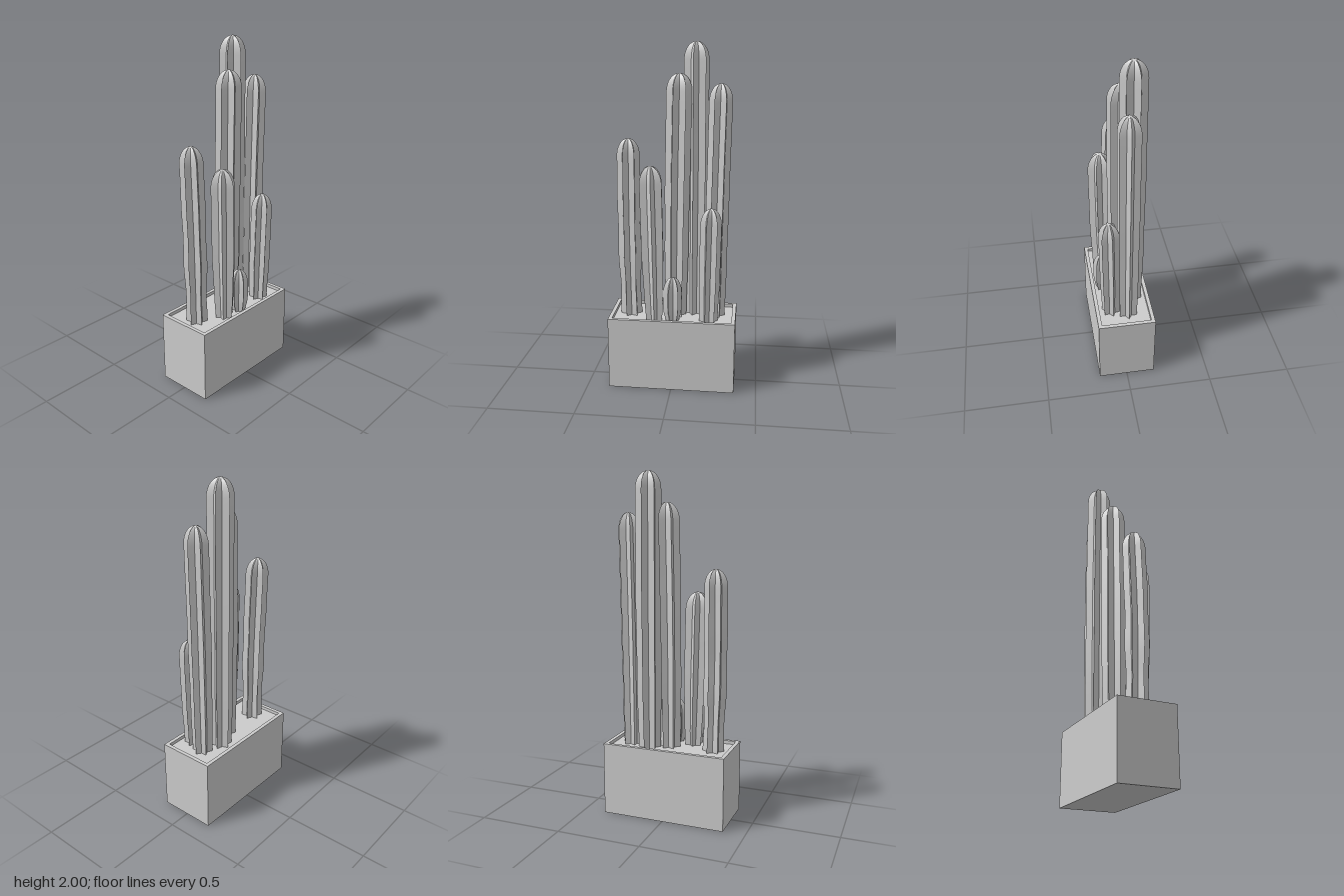
import * as THREE from 'three';
import { toCreasedNormals } from 'three/addons/utils/BufferGeometryUtils.js';

const grey = new THREE.MeshStandardMaterial({ color: 0xcccccc });
const POT = { x: 0.17, z: 0.37, h: 0.43, wall: 0.022, soil: 0.41 };
const RIBS = 6;

// Ribbed column: star cross-sections swept up a slightly bent path, closed by a dome
function cactusGeometry({ base, mid, top, h, r, turn, foot, wave }) {
  const y0 = POT.soil - 0.02;
  const path = new THREE.CatmullRomCurve3([
    new THREE.Vector3(base[0], y0, base[1]),
    new THREE.Vector3(mid[0], (y0 + h) / 2, mid[1]),
    new THREE.Vector3(top[0], h, top[1]),
  ]);
  const dome = Math.min(0.1, (h - y0) * 0.4);
  const rings = [];
  const bodySteps = 22, domeSteps = 9;
  for (let i = 0; i < bodySteps; i++) {
    const t = i / bodySteps;
    const swell = foot + (1 - foot) * Math.sin(Math.min(1, t * 1.6) * Math.PI / 2);
    const ripple = 1 + wave * Math.sin(t * 17 + turn) * (1 - t);
    rings.push([y0 + t * (h - dome - y0), r * swell * ripple]);
  }
  for (let i = 0; i <= domeSteps; i++) {
    const a = (i / domeSteps) * Math.PI / 2;
    rings.push([h - dome + dome * Math.sin(a), r * Math.max(Math.cos(a), 0.01)]);
  }

  const n = RIBS * 2, pos = [], index = [];
  const rot = THREE.MathUtils.degToRad(turn);
  rings.forEach(([y, rad], k) => {
    const c = path.getPoint((y - y0) / (h - y0));
    for (let j = 0; j < n; j++) {
      const a = rot + (j / n) * Math.PI * 2;
      const rr = rad * (j % 2 ? 0.6 : 1);
      pos.push(c.x + rr * Math.cos(a), y, c.z + rr * Math.sin(a));
      if (k === 0) continue;
      const j2 = (j + 1) % n, lo = (k - 1) * n, hi = k * n;
      index.push(lo + j, hi + j, lo + j2, lo + j2, hi + j, hi + j2);
    }
  });
  // cap the tip
  const last = (rings.length - 1) * n;
  pos.push(top[0], h, top[1]);
  for (let j = 0; j < n; j++) index.push(last + j, last + n, last + (j + 1) % n);

  const g = new THREE.BufferGeometry();
  g.setAttribute('position', new THREE.Float32BufferAttribute(pos, 3));
  g.setIndex(index);
  return toCreasedNormals(g, 0.6);
}

function rectangle(Type, x, z) {
  const s = new Type();
  s.moveTo(-x, -z);
  s.lineTo(x, -z);
  s.lineTo(x, z);
  s.lineTo(-x, z);
  s.closePath();
  return s;
}

export function createModel() {
  const model = new THREE.Group();
  const add = (name, geometry) => {
    const m = new THREE.Mesh(geometry, grey);
    m.name = name;
    model.add(m);
    return m;
  };

  // Planter: four walls with an open top, floor and soil
  const ix = POT.x - POT.wall, iz = POT.z - POT.wall;
  const outline = rectangle(THREE.Shape, POT.x, POT.z);
  outline.holes.push(rectangle(THREE.Path, ix, iz));
  const walls = new THREE.ExtrudeGeometry(outline, { depth: POT.h, bevelEnabled: false });
  walls.rotateX(-Math.PI / 2);
  add('planterWalls', walls);
  add('soil', new THREE.BoxGeometry(ix * 2, POT.soil, iz * 2)).position.y = POT.soil / 2;

  // Cacti: [x, z] at foot, middle and tip, height, rib radius, turn in degrees
  const cacti = [
    { base: [-0.06, -0.12], mid: [-0.062, -0.122], top: [-0.062, -0.12], h: 2.0, r: 0.073, turn: 10, foot: 0.9, wave: 0.03 },
    { base: [-0.005, -0.012], mid: [-0.006, -0.018], top: [-0.008, -0.03], h: 1.83, r: 0.072, turn: 22, foot: 0.85, wave: 0.02 },
    { base: [-0.022, -0.243], mid: [-0.02, -0.25], top: [-0.018, -0.262], h: 1.775, r: 0.066, turn: 30, foot: 0.9, wave: 0.02 },
    { base: [0.076, -0.212], mid: [0.08, -0.217], top: [0.085, -0.222], h: 1.09, r: 0.061, turn: 20, foot: 0.85, wave: 0.02 },
    { base: [0.098, -0.003], mid: [0.098, -0.002], top: [0.098, -0.004], h: 0.68, r: 0.055, turn: 18, foot: 0.55, wave: 0 },
    { base: [0.08, 0.107], mid: [0.083, 0.116], top: [0.085, 0.125], h: 1.325, r: 0.072, turn: -7, foot: 0.72, wave: 0.02 },
    { base: [0.0, 0.255], mid: [0.0, 0.263], top: [-0.015, 0.265], h: 1.465, r: 0.066, turn: 20, foot: 0.88, wave: 0.07 },
  ];
  cacti.forEach((c, i) => add(`cactus${i + 1}`, cactusGeometry(c)));

  return model;
}
